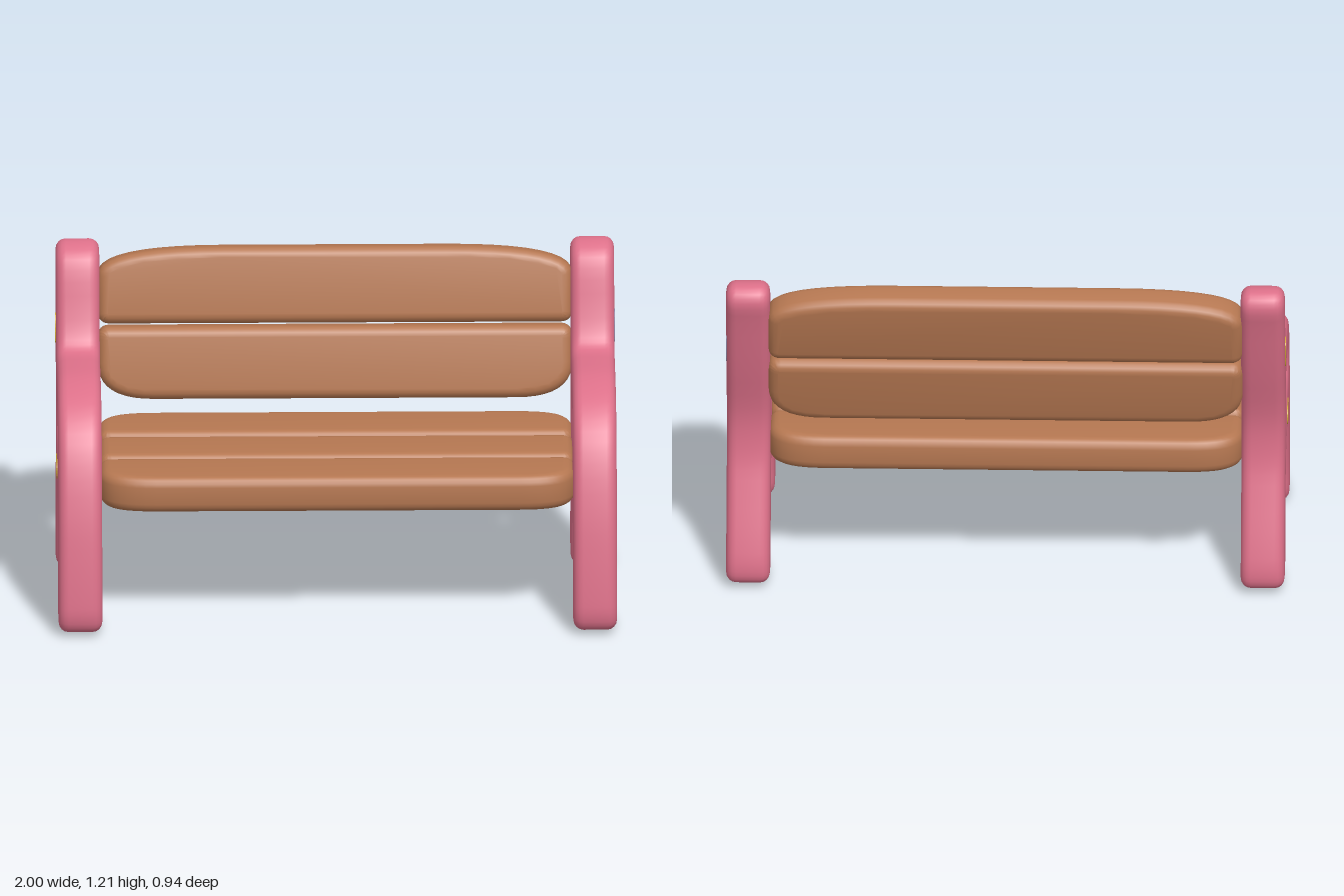
import * as THREE from 'three';
import { toCreasedNormals } from 'three/addons/utils/BufferGeometryUtils.js';

const material = (name, color) => {
  const m = new THREE.MeshStandardMaterial({ color });
  m.name = name;
  return m;
};

// Smooth closed loop through a few [a, b] points
function loop(points, steps = 3) {
  const curve = new THREE.CatmullRomCurve3(points.map(([a, b]) => new THREE.Vector3(a, b, 0)), true);
  return curve.getPoints(points.length * steps).slice(0, -1).map((p) => new THREE.Vector2(p.x, p.y));
}

// Solid of a shape with softly rounded edges, centred on its thickness
function softSolid(shape, thickness, bevel) {
  const geo = new THREE.ExtrudeGeometry(shape, {
    depth: thickness - 2 * bevel, bevelThickness: bevel, bevelSize: bevel,
    bevelOffset: -bevel, bevelSegments: 4, curveSegments: 10,
  });
  geo.translate(0, 0, bevel - thickness / 2);
  return toCreasedNormals(geo, 0.6);
}

// End frame outline as [z, y]: front leg, armrest, back post, rear leg, underside
const FRAME = [
  [0.45, 0.03], [0.467, 0.075], [0.465, 0.14], [0.44, 0.33], [0.413, 0.465], [0.365, 0.62],
  [0.307, 0.725], [0.21, 0.805], [0.067, 0.853], [-0.077, 0.86], [-0.173, 0.866], [-0.21, 0.898],
  [-0.253, 1.0], [-0.295, 1.13], [-0.326, 1.18], [-0.39, 1.208], [-0.445, 1.2], [-0.467, 1.157],
  [-0.448, 1.07], [-0.397, 0.86], [-0.349, 0.683], [-0.339, 0.587], [-0.349, 0.475], [-0.381, 0.363],
  [-0.435, 0.187], [-0.457, 0.08], [-0.445, 0.035], [-0.34, 0.004], [-0.27, 0.024], [-0.253, 0.06],
  [-0.227, 0.22], [-0.198, 0.33], [-0.166, 0.385], [-0.11, 0.414], [0.02, 0.42], [0.147, 0.414],
  [0.19, 0.39], [0.227, 0.283], [0.256, 0.123], [0.262, 0.05], [0.285, 0.018], [0.355, 0.003],
];
const ARM_HOLE = [
  [0.196, 0.603], [0.188, 0.657], [0.115, 0.708], [0.03, 0.727], [-0.105, 0.728], [-0.147, 0.705],
  [-0.15, 0.645], [-0.115, 0.597], [-0.013, 0.583], [0.147, 0.576], [0.185, 0.582],
];

// Plank outline: the +y edge has long rounded corners (run along x, drop along y)
function plankShape(height, run, drop) {
  const w = 0.848, h = height / 2, r = 0.045;
  const s = new THREE.Shape();
  s.moveTo(-w + r, -h);
  s.lineTo(w - r, -h);
  s.quadraticCurveTo(w, -h, w, -h + r);
  s.lineTo(w, h - drop);
  s.quadraticCurveTo(w, h, w - run, h);
  s.lineTo(-w + run, h);
  s.quadraticCurveTo(-w, h, -w, h - drop);
  s.lineTo(-w, -h + r);
  s.quadraticCurveTo(-w, -h, -w + r, -h);
  return s;
}

// Rounded badge outline
function badgeShape(width, height) {
  const a = width / 2, b = height / 2;
  return new THREE.Shape(loop([
    [a, b * 0.45], [a * 0.62, b], [-a * 0.62, b], [-a, b * 0.45],
    [-a, -b * 0.45], [-a * 0.62, -b], [a * 0.62, -b], [a, -b * 0.45],
  ]));
}

export function createModel() {
  const pink = material('pink', 0xdd7089);
  const wood = material('wood brown', 0xb57751);
  const blue = material('blue', 0x6ca8cd);
  const yellow = material('yellow', 0xcfa538);
  const model = new THREE.Group();
  model.name = 'bench';

  const add = (name, geo, mat, x, y, z) => {
    const mesh = new THREE.Mesh(geo, mat);
    mesh.name = name;
    mesh.position.set(x, y, z);
    model.add(mesh);
    return mesh;
  };

  // End frames
  const outline = new THREE.Shape(loop(FRAME));
  outline.holes.push(new THREE.Path(loop(ARM_HOLE)));
  const frameGeo = softSolid(outline, 0.156, 0.036).rotateY(-Math.PI / 2);
  add('leftFrame', frameGeo, pink, 0.92, 0, 0);
  add('rightFrame', frameGeo, pink, -0.92, 0, 0);

  // Planks: name, height, thickness, corner run, corner drop, y, z, tilt, flipped
  const flat = Math.PI / 2, lean = -0.22;
  for (const [name, height, thick, run, drop, y, z, tilt, flip] of [
    ['seatFrontPlank', 0.246, 0.132, 0.2, 0.13, 0.509, 0.248, flat, false],
    ['seatMiddlePlank', 0.234, 0.132, 0.045, 0.045, 0.509, 0.006, flat, false],
    ['seatRearPlank', 0.246, 0.132, 0.2, 0.13, 0.509, -0.247, flat, true],
    ['backUpperPlank', 0.275, 0.125, 0.45, 0.1, 1.048, -0.383, lean, false],
    ['backLowerPlank', 0.262, 0.122, 0.2, 0.13, 0.775, -0.324, lean, true],
  ]) {
    const plank = add(name, softSolid(plankShape(height, run, drop), thick, 0.035), wood, 0, y, z);
    plank.rotation.set(tilt, 0, flip ? Math.PI : 0);
  }

  // Thin badges on the outer faces of the frames
  const badge = (name, mat, side, y, z, width, height, turn) => {
    const geo = new THREE.ExtrudeGeometry(badgeShape(width, height), { depth: 0.006, bevelEnabled: false });
    geo.translate(0, 0, -0.003).rotateZ(turn).rotateY(-Math.PI / 2);
    add(name, geo, mat, side * 0.998, y, z);
  };
  badge('leftPostBadge', blue, 1, 0.912, -0.307, 0.066, 0.108, 0.12);
  badge('leftRailBadge', yellow, 1, 0.505, 0.028, 0.122, 0.068, 0);
  badge('rightPostBadge', yellow, -1, 0.912, -0.307, 0.066, 0.1, 0.12);
  badge('rightRailBadge', yellow, -1, 0.505, 0.028, 0.122, 0.068, 0);

  return model;
}
